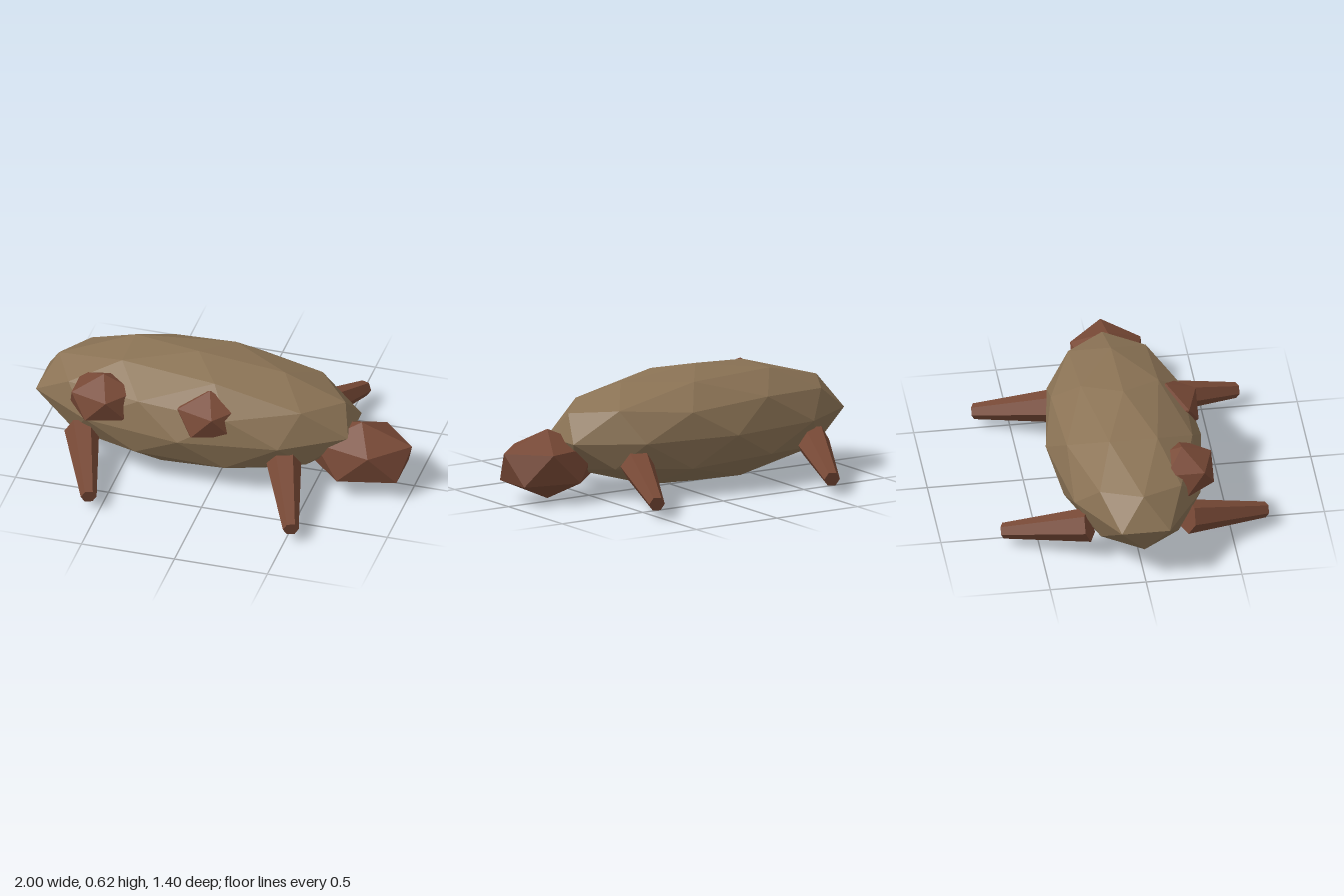
import * as THREE from 'three';

const shellBrown = new THREE.MeshStandardMaterial({ color: 0x8b7355, flatShading: true });
shellBrown.name = 'shellBrown';
const skinRust = new THREE.MeshStandardMaterial({ color: 0x784936, flatShading: true });
skinRust.name = 'skinRust';

// Faceted ball standing on a corner, with a corner of its upper ring towards +x
const TILT = Math.atan(2 / (1 + Math.sqrt(5)));
function facetedBall(name, material, detail, size, position) {
  const geometry = new THREE.IcosahedronGeometry(1, detail);
  geometry.rotateZ(-TILT);
  geometry.scale(...size);
  const mesh = new THREE.Mesh(geometry, material);
  mesh.name = name;
  mesh.position.set(...position);
  return mesh;
}

// Tapered six-sided limb running from root to tip
function limb(name, root, tip, rootRadius, tipRadius) {
  const length = root.distanceTo(tip);
  const geometry = new THREE.CylinderGeometry(tipRadius, rootRadius, length, 6);
  geometry.rotateY(Math.PI / 6);
  geometry.rotateX(Math.PI / 2);
  const mesh = new THREE.Mesh(geometry, skinRust);
  mesh.name = name;
  mesh.position.copy(root).lerp(tip, 0.5);
  mesh.lookAt(tip);
  return mesh;
}

export function createModel() {
  const model = new THREE.Group();
  model.name = 'shelledCreature';

  // Long body and head at the +x end
  model.add(facetedBall('body', shellBrown, 1, [0.883, 0.31, 0.405], [-0.16, 0.315, 0]));
  model.add(facetedBall('head', skinRust, 0, [0.302, 0.183, 0.216], [0.73, 0.193, 0.043]));

  // Lumps half sunk into one flank
  [-0.6, -0.03].forEach((x, i) => {
    model.add(facetedBall('lump' + (i + 1), skinRust, 0, [0.2, 0.136, 0.188], [x, 0.42, 0.243]));
  });

  // Four splayed legs, mirrored across z
  for (const [pair, x] of [['rear', -0.715], ['front', 0.372]]) {
    for (const [side, s] of [['A', 1], ['B', -1]]) {
      const root = new THREE.Vector3(x, 0.195, 0.255 * s);
      const tip = new THREE.Vector3(x + 0.162, 0.086, 0.684 * s);
      model.add(limb(pair + 'Leg' + side, root, tip, 0.09, 0.041));
    }
  }
  return model;
}
